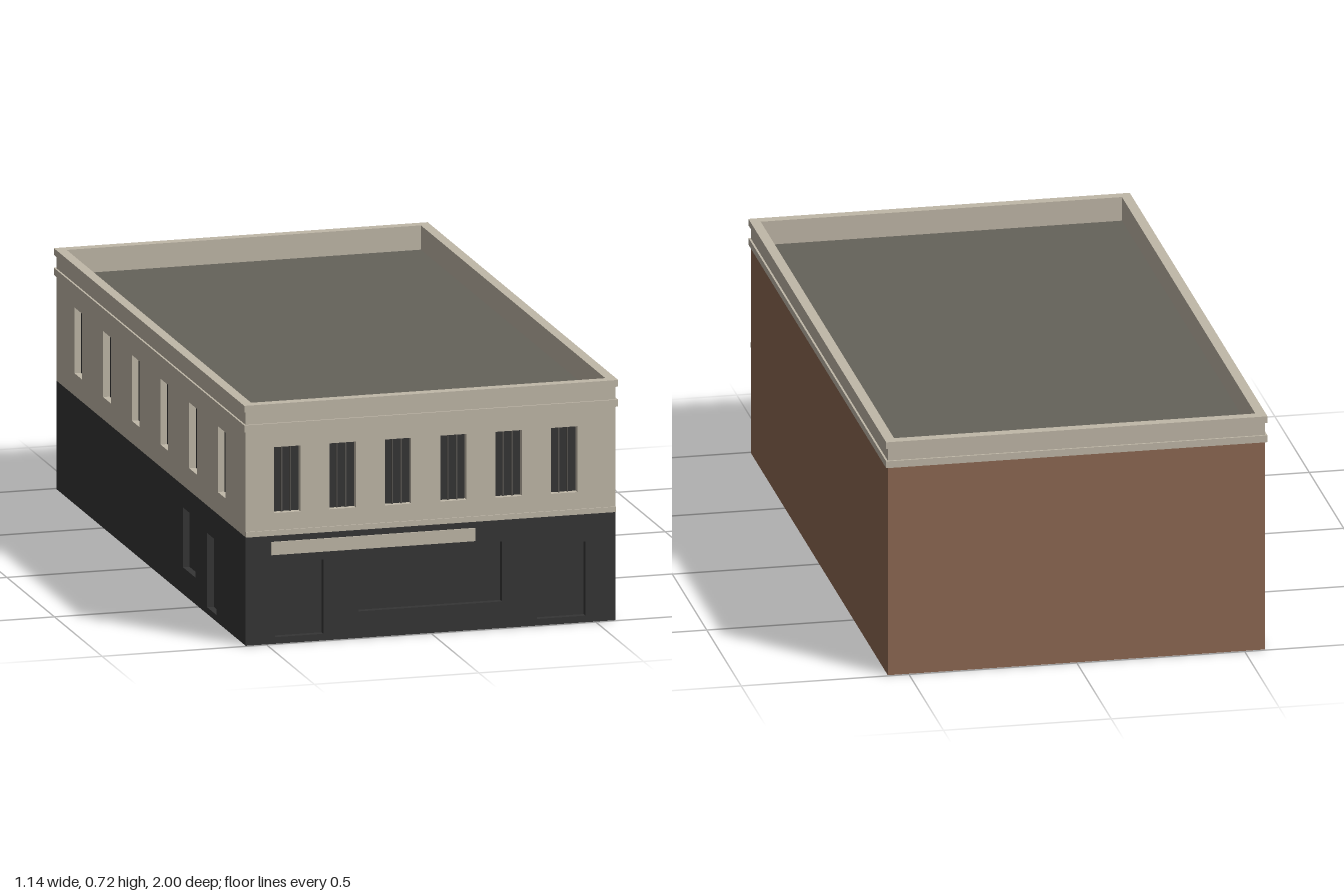
import * as THREE from 'three';

const mat = (name, color) => {
  const m = new THREE.MeshStandardMaterial({ color, side: THREE.DoubleSide });
  m.name = name;
  return m;
};

export function createModel() {
  const stone = mat('stone', 0xc0b8a8);
  const dark = mat('darkPaint', 0x353535);
  const brick = mat('brick', 0x8e6852);
  const roofMat = mat('roofing', 0x65625a);
  const bar = mat('windowBar', 0x55534f);

  const W = 0.562, D = 0.994;           // half width and half depth of the walls
  const BASE = 0.326, EAVE = 0.643;     // top of shopfront, top of walls
  const RECESS = 0.02;
  const model = new THREE.Group();
  model.name = 'building';

  const add = (parent, name, geometry, material, x = 0, y = 0, z = 0) => {
    const mesh = new THREE.Mesh(geometry, material);
    mesh.name = name;
    mesh.position.set(x, y, z);
    parent.add(mesh);
    return mesh;
  };
  const box = (parent, name, material, x0, x1, y0, y1, z0, z1) =>
    add(parent, name, new THREE.BoxGeometry(x1 - x0, y1 - y0, z1 - z0), material,
      (x0 + x1) / 2, (y0 + y1) / 2, (z0 + z1) / 2);
  const rect = (Type, x0, x1, y0, y1) => {
    const p = new Type();
    p.moveTo(x0, y0); p.lineTo(x1, y0); p.lineTo(x1, y1); p.lineTo(x0, y1); p.closePath();
    return p;
  };

  // Wall sheet in local xy with recessed openings [x0, x1, y0, y1]
  const wall = (parent, name, material, half, y0, y1, openings) => {
    const shape = rect(THREE.Shape, -half, half, y0, y1);
    for (const o of openings) shape.holes.push(rect(THREE.Path, ...o));
    add(parent, name, new THREE.ShapeGeometry(shape), material);
    for (const [a, b, c, d] of openings) {
      // four sides of the recess, then its back panel
      const reveal = new THREE.BoxGeometry(b - a, d - c, RECESS);
      reveal.setIndex([...reveal.index.array].slice(0, 24));
      reveal.clearGroups();
      add(parent, name + 'Reveal', reveal, material, (a + b) / 2, (c + d) / 2, -RECESS / 2);
      add(parent, name + 'Panel', new THREE.PlaneGeometry(b - a, d - c), dark,
        (a + b) / 2, (c + d) / 2, -RECESS);
    }
  };

  const windowsAt = (first, step) => Array.from({ length: 6 }, (_, i) => {
    const c = first + i * step;
    return [c - 0.04, c + 0.04, 0.393, 0.591];
  });

  // Front facade
  const front = new THREE.Group();
  front.name = 'frontFacade';
  front.position.z = D;
  model.add(front);
  const frontWindows = windowsAt(-0.436, 0.1684);
  wall(front, 'frontUpperWall', stone, W, BASE, EAVE, frontWindows);
  wall(front, 'shopfront', dark, W, 0, BASE, [
    [-0.473, -0.326, 0.02, 0.243],
    [-0.22, 0.217, 0.08, 0.26],
    [0.323, 0.47, 0.02, 0.243],
  ]);
  for (const [a, b, c, d] of frontWindows) {
    for (const t of [-0.0133, 0.0133]) {
      const x = (a + b) / 2 + t;
      box(front, 'windowMullion', bar, x - 0.002, x + 0.002, c, d, -RECESS, -RECESS + 0.008);
    }
  }
  box(front, 'ledge', stone, -W, W, BASE, 0.342, 0, 0.004);
  box(front, 'signBoard', stone, -0.485, 0.134, 0.268, 0.307, 0, 0.005);

  // Left facade, whose local x runs along the building's z
  const side = new THREE.Group();
  side.name = 'sideFacade';
  side.position.x = -W;
  side.rotation.y = -Math.PI / 2;
  model.add(side);
  wall(side, 'sideUpperWall', stone, D, BASE, EAVE, windowsAt(-0.763, 0.301));
  wall(side, 'sideBase', dark, D, 0, BASE, [
    [0.335, 0.465, 0.08, 0.26],
    [0.59, 0.69, 0.02, 0.243],
  ]);

  // Plain brick walls
  add(model, 'backWall', new THREE.PlaneGeometry(2 * W, EAVE), brick, 0, EAVE / 2, -D)
    .rotation.y = Math.PI;
  add(model, 'rightWall', new THREE.PlaneGeometry(2 * D, EAVE), brick, W, EAVE / 2, 0)
    .rotation.y = Math.PI / 2;

  // Parapet rings and roof
  const ring = (name, x, z, y0, y1) => {
    const shape = rect(THREE.Shape, -x, x, -z, z);
    shape.holes.push(rect(THREE.Path, -0.538, 0.538, -0.968, 0.968));
    const g = new THREE.ExtrudeGeometry(shape, { depth: y1 - y0, bevelEnabled: false });
    add(model, name, g.rotateX(-Math.PI / 2), stone, 0, y0, 0);
  };
  ring('lowerCornice', 0.568, 1, EAVE, 0.664);
  ring('parapet', W, D, 0.664, 0.703);
  ring('topCornice', 0.568, 1, 0.703, 0.723);
  add(model, 'roof', new THREE.PlaneGeometry(1.08, 1.94), roofMat, 0, 0.65, 0)
    .rotation.x = -Math.PI / 2;

  return model;
}
